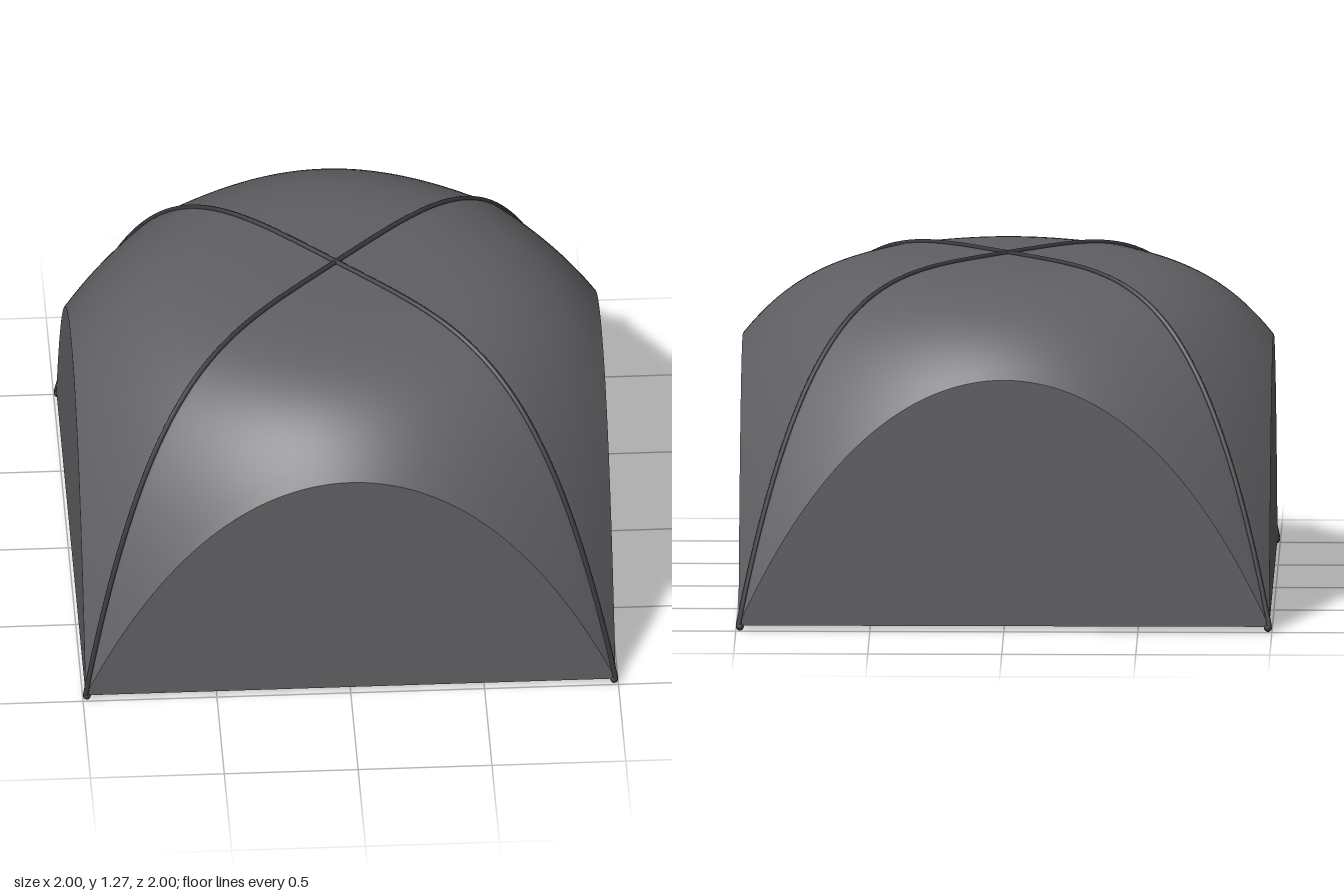
import * as THREE from 'three';

const HALF = 0.99;   // half width of the square plan
const BASE = 0.02;   // hem height
const SIDE = 0.95;   // top of each side arch
const TOP = 1.262;   // crown height

// Height of the canopy: low arches on the four sides, swelling to a flat crown
function roofHeight(x, z) {
  const a = Math.abs(x) / HALF, b = Math.abs(z) / HALF;
  const s = Math.max(a, b);
  if (s < 1e-6) return TOP;
  const t = Math.min(a, b) / s;
  const bulge = 0.83 * t ** 2 + 0.17 * t ** 4;
  return TOP - s ** 4 * ((TOP - SIDE) + (SIDE - BASE) * bulge);
}

export function createModel() {
  const tent = new THREE.Group();
  tent.name = 'tent';
  const fabric = new THREE.MeshStandardMaterial({ color: 0x606064, side: THREE.DoubleSide });
  fabric.name = 'grey fabric';
  const poleMat = new THREE.MeshStandardMaterial({ color: 0x38383c });
  poleMat.name = 'dark pole';

  const add = (name, geometry, material) => {
    const mesh = new THREE.Mesh(geometry, material);
    mesh.name = name;
    tent.add(mesh);
    return mesh;
  };

  // Canopy: a flat grid lifted to the roof height
  const canopy = new THREE.PlaneGeometry(2 * HALF, 2 * HALF, 64, 64).rotateX(-Math.PI / 2);
  const pos = canopy.attributes.position;
  for (let i = 0; i < pos.count; i++) pos.setY(i, roofHeight(pos.getX(i), pos.getZ(i)));
  canopy.computeVertexNormals();
  add('canopy', canopy, fabric);

  // Four flat arched walls; the bottom is open
  const arch = new THREE.Shape();
  arch.moveTo(-HALF, BASE);
  arch.lineTo(HALF, BASE);
  for (let i = 63; i > 0; i--) {
    const x = -HALF + (2 * HALF * i) / 64;
    arch.lineTo(x, roofHeight(x, HALF));
  }
  const wall = new THREE.ShapeGeometry(arch).translate(0, 0, HALF);
  ['frontWall', 'leftWall', 'backWall', 'rightWall'].forEach((name, i) => {
    add(name, wall, fabric).rotation.y = (i * Math.PI) / 2;
  });

  // Two crossing poles along the diagonals, with rounded feet
  for (const side of [1, -1]) {
    const points = [];
    for (let i = 0; i <= 40; i++) {
      const x = HALF * Math.sin((i / 40 - 0.5) * Math.PI);
      points.push(new THREE.Vector3(x, roofHeight(x, x) + 0.002, side * x));
    }
    const curve = new THREE.CatmullRomCurve3(points);
    add(side > 0 ? 'poleA' : 'poleB', new THREE.TubeGeometry(curve, 120, 0.01, 8), poleMat);
    for (const end of [1, -1]) {
      const foot = add('poleFoot', new THREE.SphereGeometry(0.015, 12, 8), poleMat);
      foot.position.set(end * 0.985, 0.015, end * side * 0.985);
    }
  }
  return tent;
}
